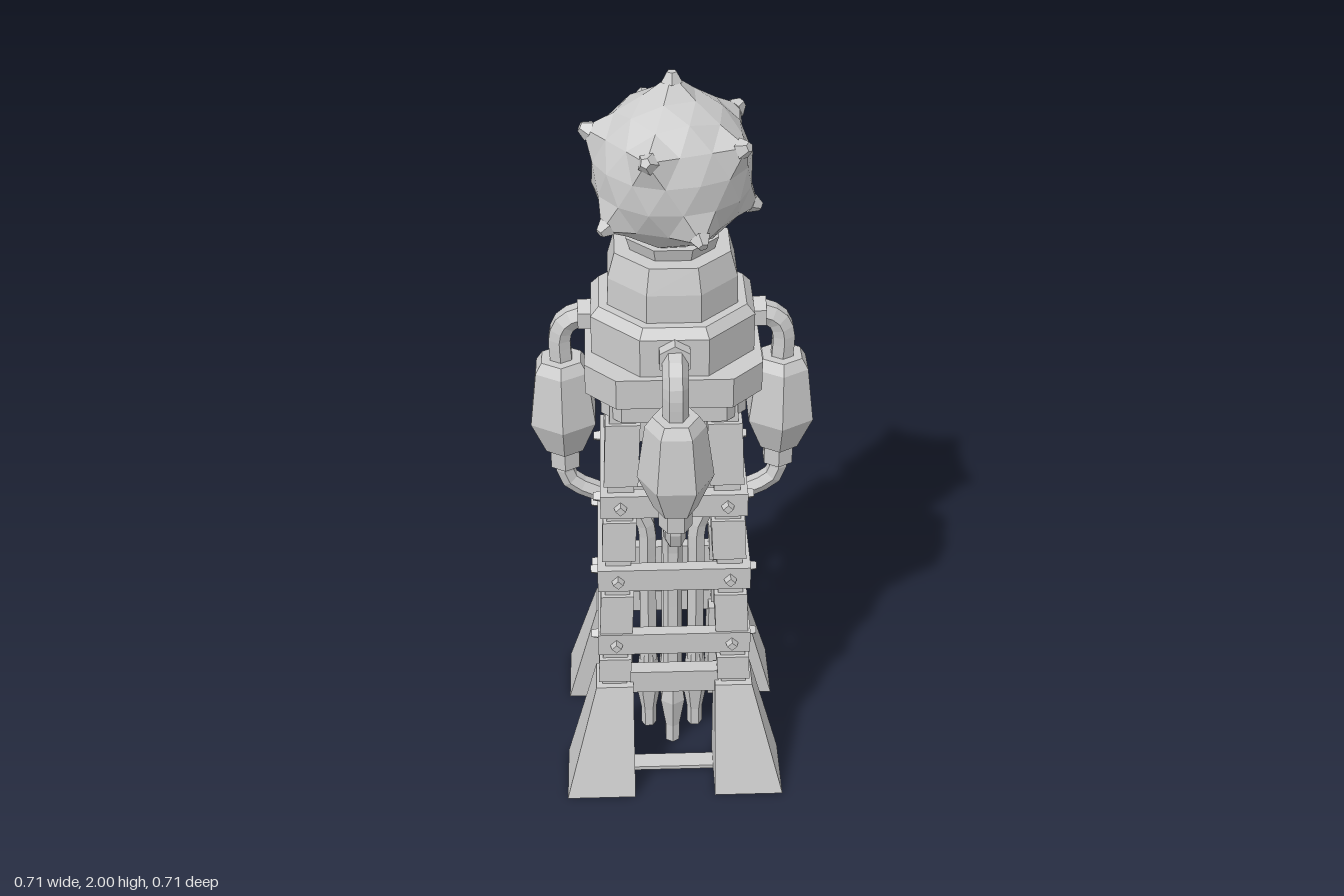
import * as THREE from 'three';

const mat = new THREE.MeshStandardMaterial({ color: 0xcccccc, flatShading: true });

function add(parent, name, geometry, x = 0, y = 0, z = 0) {
  const mesh = new THREE.Mesh(geometry, mat);
  mesh.name = name;
  mesh.position.set(x, y, z);
  parent.add(mesh);
  return mesh;
}

// Regular octagonal section with flats facing the four sides
function octagon(bottom, top, y0, y1) {
  const k = 1 / Math.cos(Math.PI / 8);
  return new THREE.CylinderGeometry(top * k, bottom * k, y1 - y0, 8)
    .rotateY(Math.PI / 8).translate(0, (y0 + y1) / 2, 0);
}

// Square slab with cut corners
function chamferedSlab(h, c, y0, y1) {
  const pts = [[h, c - h], [h, h - c], [h - c, h], [c - h, h], [-h, h - c], [-h, c - h], [c - h, -h], [h - c, -h]];
  const shape = new THREE.Shape(pts.map(p => new THREE.Vector2(...p)));
  return new THREE.ExtrudeGeometry(shape, { depth: y1 - y0, bevelEnabled: false })
    .rotateX(-Math.PI / 2).translate(0, y0, 0);
}

function pipe(points, radius, segments) {
  const curve = new THREE.CatmullRomCurve3(points.map(([z, y]) => new THREE.Vector3(0, y, z)));
  return new THREE.TubeGeometry(curve, segments, radius, 6);
}

// Legs lean inward as they rise
const legAt = y => 0.175 - 0.043 * y;

function leaningBlock(width, y0, y1) {
  const g = new THREE.BoxGeometry(width, y1 - y0, width).translate(0, (y0 + y1) / 2, 0);
  const p = g.attributes.position;
  for (let i = 0; i < p.count; i++) {
    const c = legAt(p.getY(i));
    p.setX(i, p.getX(i) + c);
    p.setZ(i, p.getZ(i) + c);
  }
  return g;
}

// Foot: inner faces upright, outer faces sloped
function footGeometry() {
  const g = new THREE.BoxGeometry(0.187, 0.33, 0.187).translate(0.2035, 0.165, 0.2035);
  const p = g.attributes.position;
  for (let i = 0; i < p.count; i++) {
    if (p.getY(i) < 0.2) continue;
    if (p.getX(i) > 0.2) p.setX(i, 0.21);
    if (p.getZ(i) > 0.2) p.setZ(i, 0.21);
  }
  return g;
}

function createLeg() {
  const leg = new THREE.Group();
  leg.name = 'leg';
  add(leg, 'foot', footGeometry());
  add(leg, 'legCore', leaningBlock(0.066, 0.32, 1.22));
  for (const [y0, y1] of [[0.345, 0.42], [0.505, 0.63], [0.745, 0.865], [0.975, 1.155]]) {
    add(leg, 'legBlock', leaningBlock(0.086, y0, y1));
  }
  return leg;
}

function createSide() {
  const side = new THREE.Group();
  side.name = 'side';

  // Bolted cross bars
  for (const [y, h, bx] of [[0.475, 0.202, 0.153], [0.69, 0.198, 0.145], [0.918, 0.186, 0.135]]) {
    add(side, 'crossBar', new THREE.BoxGeometry(2 * h, 0.068, 0.032), 0, y, h - 0.016);
    for (const s of [-1, 1]) {
      add(side, 'bolt', new THREE.CylinderGeometry(0.013, 0.017, 0.02, 4).rotateX(Math.PI / 2), s * bx, y, h + 0.008);
    }
  }
  add(side, 'footBeam', new THREE.BoxGeometry(0.24, 0.072, 0.04), 0, 0.328, 0.17);
  add(side, 'groundStrip', new THREE.BoxGeometry(0.24, 0.012, 0.05), 0, 0.006, 0.17);

  // Hanging hexagonal tank
  const profile = [[0, 0.93], [0.042, 0.93], [0.042, 0.985], [0.054, 0.985], [0.094, 1.08], [0.074, 1.225], [0.056, 1.252], [0, 1.252]];
  const tank = new THREE.LatheGeometry(profile.map(p => new THREE.Vector2(...p)), 6).rotateY(Math.PI / 6);
  // Turn so that the flat sides face outward
  add(side, 'tank', tank.rotateY(tankTurn(tank)), 0, 0, 0.275);

  // Feed pipe above the tank
  add(side, 'upperPipe', pipe([[0.275, 1.24], [0.275, 1.325], [0.255, 1.36], [0.18, 1.385]], 0.031, 9));
  add(side, 'pipeSocket', new THREE.CylinderGeometry(0.042, 0.042, 0.05, 6).rotateX(Math.PI / 2), 0, 1.375, 0.205);

  // Drain pipe bending under the tank and down the middle
  add(side, 'lowerPipe', pipe([[0.275, 0.95], [0.275, 0.9], [0.255, 0.87], [0.18, 0.83], [0.1, 0.785], [0.07, 0.73], [0.066, 0.6], [0.066, 0.25]], 0.026, 22));
  const spindle = [[0, 0.0], [0.022, 0.0], [0.022, 0.06], [0.038, 0.16], [0.022, 0.28], [0, 0.28]];
  add(side, 'spindle', new THREE.LatheGeometry(spindle.map(p => new THREE.Vector2(...p)), 6), 0, 0, 0.066);
  return side;
}

// Angle that brings a corner of the hexagon onto the x axis
function tankTurn(g) {
  const p = g.attributes.position;
  return Math.atan2(p.getZ(2), p.getX(2));
}

// Spiked ball with a corner pointing straight up
function createHead() {
  const head = new THREE.Group();
  head.name = 'head';
  const t = (1 + Math.sqrt(5)) / 2;
  const turn = Math.atan(1 / t);
  const corners = [];
  for (const a of [-1, 1]) for (const b of [-t, t]) {
    corners.push(new THREE.Vector3(a, b, 0), new THREE.Vector3(0, a, b), new THREE.Vector3(b, 0, a));
  }
  corners.forEach(c => c.normalize().applyAxisAngle(new THREE.Vector3(0, 0, 1), turn));

  const ball = new THREE.IcosahedronGeometry(1, 2).rotateZ(turn);
  const p = ball.attributes.position;
  const v = new THREE.Vector3();
  for (let i = 0; i < p.count; i++) {
    v.fromBufferAttribute(p, i).normalize();
    const spike = corners.some(c => c.dot(v) > 0.999);
    v.multiplyScalar(spike ? 0.228 : 0.191);
    p.setXYZ(i, v.x, v.y, v.z);
  }
  ball.computeVertexNormals();
  add(head, 'spikedBall', ball);
  for (const c of corners) {
    const tip = add(head, 'spikeTip', new THREE.CylinderGeometry(0.012, 0.026, 0.024, 5));
    tip.position.copy(c).multiplyScalar(0.223);
    tip.quaternion.setFromUnitVectors(new THREE.Vector3(0, 1, 0), c);
  }
  head.position.y = 1.765;
  return head;
}

export function createModel() {
  const model = new THREE.Group();
  model.name = 'tower';

  for (let i = 0; i < 4; i++) {
    const leg = createLeg();
    const side = createSide();
    leg.rotation.y = side.rotation.y = i * Math.PI / 2;
    model.add(leg, side);
  }

  // Stacked collar and neck
  add(model, 'underCap', chamferedSlab(0.178, 0.05, 1.17, 1.24));
  add(model, 'collarRing', chamferedSlab(0.215, 0.075, 1.235, 1.315));
  add(model, 'collarBody', octagon(0.198, 0.198, 1.315, 1.415));
  add(model, 'collarBevel', octagon(0.198, 0.178, 1.415, 1.438));
  add(model, 'neck', octagon(0.157, 0.155, 1.43, 1.51));
  add(model, 'neckTop', octagon(0.155, 0.138, 1.51, 1.573));
  add(model, 'headSeat', octagon(0.1, 0.11, 1.57, 1.605));
  model.add(createHead());
  return model;
}
